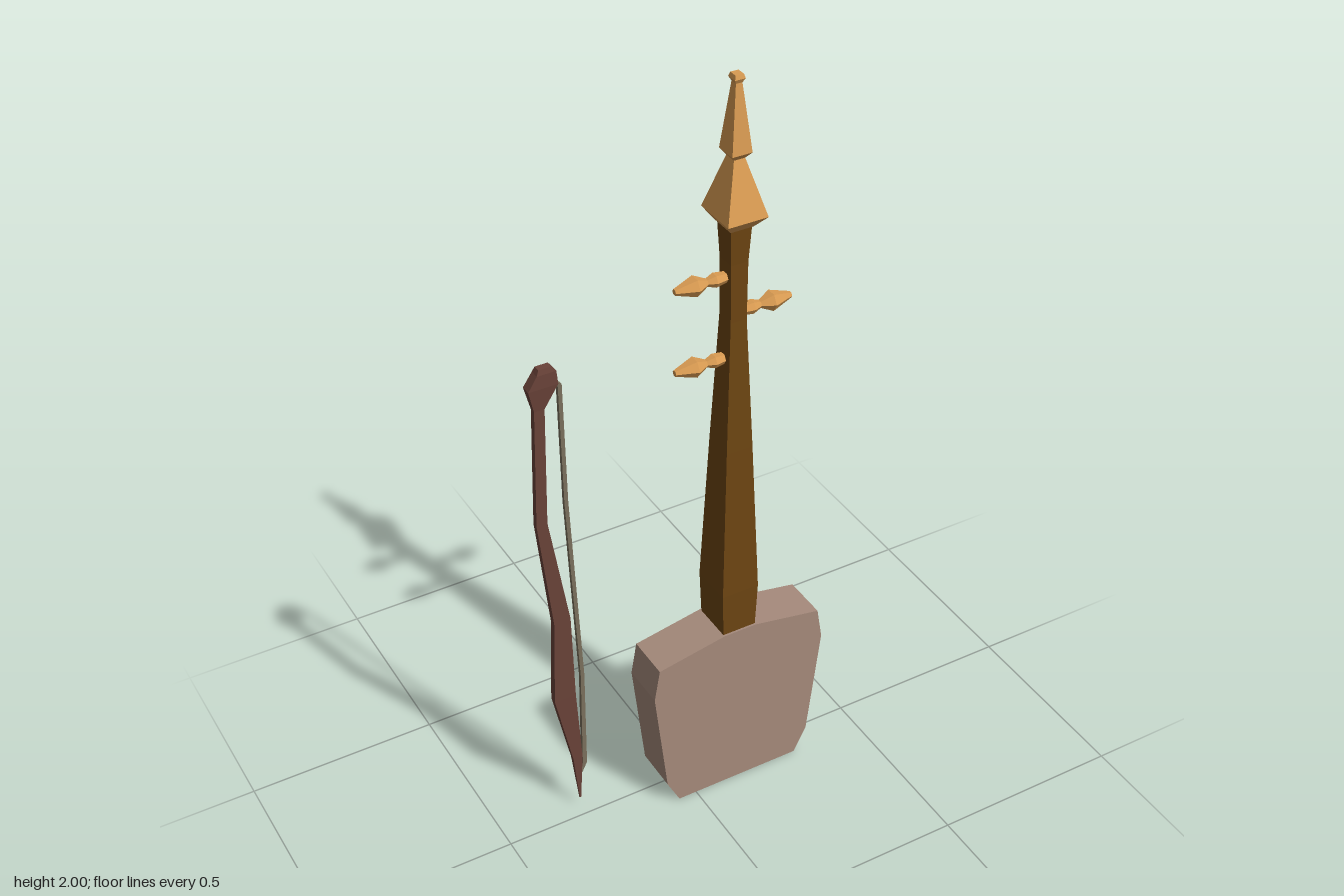
import * as THREE from 'three';

const mat = (name, color) => Object.assign(new THREE.MeshStandardMaterial({ color }), { name });

// Faceted loft along y; each section is [y, centreX, centreZ, halfX, halfZ]
function loft(sections, sides = 4) {
  const pos = [], idx = [];
  const turn = sides === 4 ? Math.PI / 4 : 0;
  const k = sides === 4 ? Math.SQRT2 : 1;
  for (const [y, cx, cz, hx, hz] of sections) {
    for (let i = 0; i < sides; i++) {
      const a = turn + (i / sides) * Math.PI * 2;
      pos.push(cx + Math.sin(a) * hx * k, y, cz + Math.cos(a) * hz * k);
    }
  }
  for (let s = 0; s < sections.length - 1; s++) {
    for (let i = 0; i < sides; i++) {
      const a = s * sides + i, b = s * sides + (i + 1) % sides;
      idx.push(a, b, b + sides, a, b + sides, a + sides);
    }
  }
  const top = (sections.length - 1) * sides;
  for (let i = 1; i < sides - 1; i++) {
    idx.push(0, i + 1, i, top, top + i, top + i + 1);
  }
  const g = new THREE.BufferGeometry();
  g.setAttribute('position', new THREE.Float32BufferAttribute(pos, 3));
  g.setIndex(idx);
  const flat = g.toNonIndexed();
  flat.computeVertexNormals();
  return flat;
}

export function createModel() {
  const group = new THREE.Group();
  const bodyMat = mat('pale wood', 0xa58a7b);
  const neckMat = mat('dark brown wood', 0x6d4512);
  const trimMat = mat('golden wood', 0xd99b52);
  const bowMat = mat('reddish wood', 0x6a4339);
  const hairMat = mat('bow hair', 0x7a705c);

  const add = (name, geometry, material) => {
    const m = new THREE.Mesh(geometry, material);
    m.name = name;
    group.add(m);
    return m;
  };
  const CX = 0.125, CZ = 0.016;

  // Sound box: symmetric outline extruded front to back
  const half = [[0.175, 0], [0.21, 0.07], [0.245, 0.38], [0.23, 0.47], [0.045, 0.505]];
  const outline = [
    ...half.map(([x, y]) => new THREE.Vector2(CX + x, y)),
    ...half.slice().reverse().map(([x, y]) => new THREE.Vector2(CX - x, y)),
  ];
  const box = new THREE.ExtrudeGeometry(new THREE.Shape(outline), { depth: 0.12, bevelEnabled: false });
  box.translate(0, 0, CZ - 0.06);
  add('soundBox', box, bodyMat);

  // Tapered square neck
  add('neck', loft([
    [0.49, CX, CZ, 0.045, 0.054],
    [0.63, CX, CZ, 0.05, 0.057],
    [1.05, CX, CZ, 0.035, 0.04],
    [1.4, CX, CZ, 0.021, 0.025],
    [1.55, CX, CZ, 0.022, 0.025],
    [1.64, CX, CZ, 0.027, 0.029],
  ]), neckMat);

  // Tiered spire on top of the neck
  add('finial', loft([
    [1.64, CX, CZ, 0.029, 0.032],
    [1.67, CX, CZ, 0.051, 0.058],
    [1.805, CX, CZ, 0.014, 0.016],
    [1.82, CX, CZ, 0.025, 0.028],
    [1.98, CX, CZ, 0.008, 0.009],
    [1.99, CX, CZ, 0.013, 0.014],
    [2.0, CX, CZ, 0.01, 0.011],
  ]), trimMat);

  // Tuning pegs, alternating sides
  const pegSections = [[0.01, 0.012], [0.05, 0.018], [0.07, 0.01], [0.1, 0.026], [0.152, 0.008]];
  for (const [y, side] of [[1.51, -1], [1.41, 1], [1.295, -1]]) {
    const geo = loft(pegSections.map(([d, r]) => [d, 0, 0, r * 0.95, r]), 6);
    geo.rotateZ(-side * Math.PI / 2);
    geo.translate(CX, y, CZ);
    add('tuningPeg', geo, trimMat);
  }

  // Bow stick with a faceted head
  const BZ = -0.033;
  add('bowStick', loft([
    [0.03, -0.283, BZ, 0.002, 0.002],
    [0.18, -0.288, BZ, 0.013, 0.007],
    [0.4, -0.317, BZ, 0.029, 0.01],
    [0.65, -0.315, BZ, 0.022, 0.009],
    [0.96, -0.355, BZ, 0.014, 0.008],
    [1.28, -0.347, BZ, 0.013, 0.008],
    [1.34, -0.337, BZ, 0.037, 0.013],
    [1.375, -0.327, BZ, 0.024, 0.012],
    [1.388, -0.329, BZ, 0.016, 0.009],
  ]), bowMat);

  // Bow hair running from the head to the tip
  add('bowHair', loft([
    [0.12, -0.282, BZ, 0.006, 0.005],
    [0.15, -0.268, BZ, 0.006, 0.005],
    [0.45, -0.265, BZ, 0.005, 0.005],
    [1.0, -0.289, BZ, 0.005, 0.005],
    [1.33, -0.293, BZ, 0.005, 0.005],
    [1.345, -0.31, BZ, 0.005, 0.005],
  ]), hairMat);

  return group;
}
